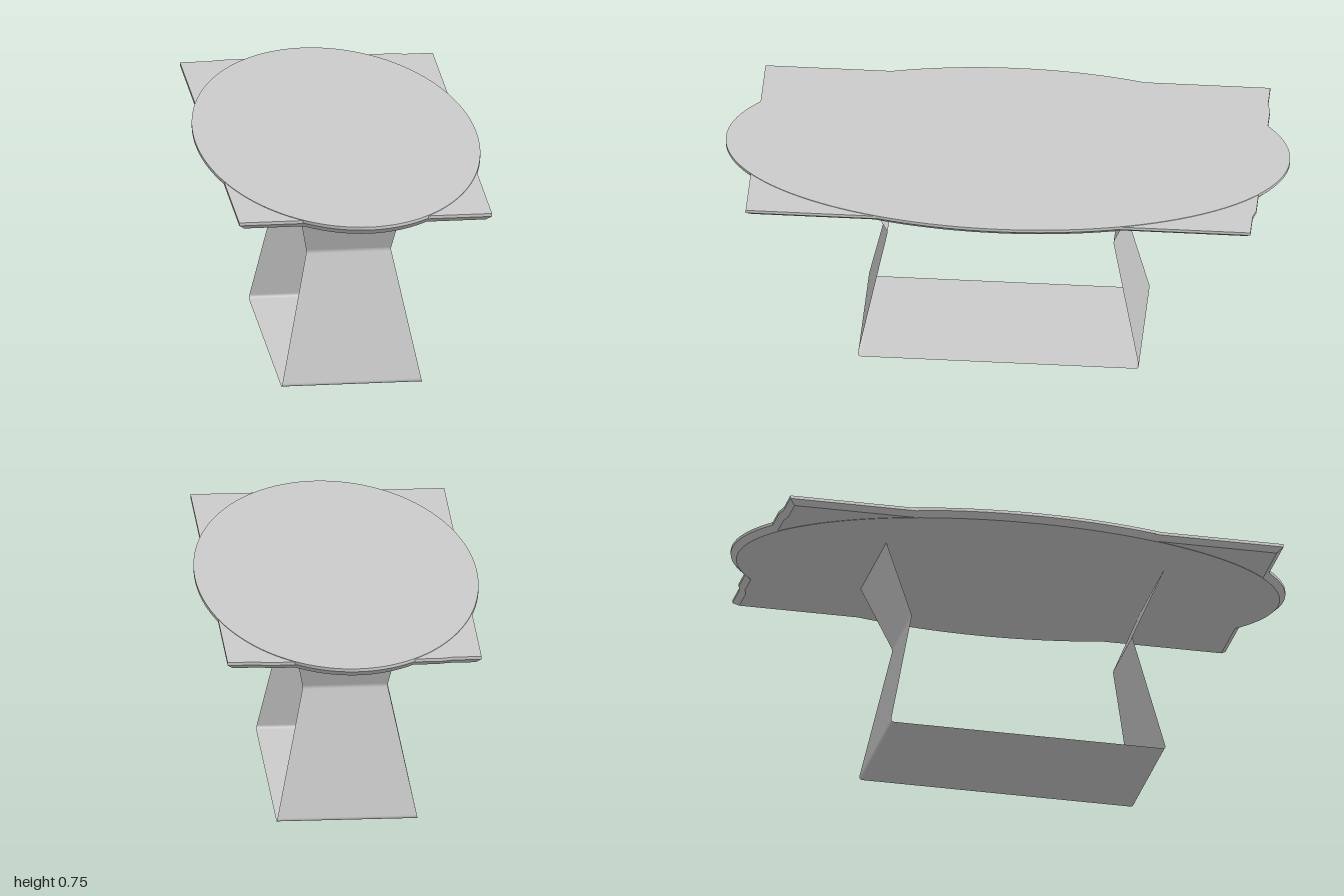
import * as THREE from 'three';
import { toCreasedNormals } from 'three/addons/utils/BufferGeometryUtils.js';

const material = new THREE.MeshStandardMaterial({ color: 0xcccccc, side: THREE.DoubleSide });

function surface(positions, indices) {
  const g = new THREE.BufferGeometry();
  g.setAttribute('position', new THREE.Float32BufferAttribute(positions, 3));
  g.setIndex(indices);
  g.computeVertexNormals();
  return g;
}

// Flat slab with a chamfered underside; outline points are [x, z], clockwise seen from below
function slab(name, outline, halfX, halfZ, top, bottom) {
  const inset = 0.02, n = outline.length;
  const positions = [], indices = [];
  const rings = [[top, 0], [top - 0.011, 0], [bottom, inset]];
  for (const [y, d] of rings) {
    for (const [x, z] of outline) positions.push(x * (1 - d / halfX), y, z * (1 - d / halfZ));
  }
  positions.push(0, top, 0, 0, bottom, 0);
  const topCentre = rings.length * n, bottomCentre = topCentre + 1;
  for (let i = 0; i < n; i++) {
    const j = (i + 1) % n;
    for (let r = 0; r < rings.length - 1; r++) {
      const a = r * n + i, b = r * n + j;
      indices.push(a, a + n, b, b, a + n, b + n);
    }
    indices.push(topCentre, i, j, bottomCentre, 2 * n + j, 2 * n + i);
  }
  const mesh = new THREE.Mesh(toCreasedNormals(surface(positions, indices), 0.5), material);
  mesh.name = name;
  return mesh;
}

// Bent sheet: stations [z, y, half width], each inner corner rounded by a small fillet
function bentSheet(stations, fillets) {
  const pts = [];
  const toVec = (s) => new THREE.Vector3(...s);
  stations.forEach((s, i) => {
    const p = toVec(s), r = fillets[i];
    if (!r) { pts.push(p); return; }
    const toward = (q) => p.clone().add(toVec(q).sub(p).normalize().multiplyScalar(r));
    const curve = new THREE.QuadraticBezierCurve3(toward(stations[i - 1]), p, toward(stations[i + 1]));
    pts.push(...curve.getPoints(6));
  });
  const positions = [], indices = [];
  pts.forEach((p, i) => {
    positions.push(-p.z, p.y, p.x, p.z, p.y, p.x);
    if (i) {
      const a = 2 * i - 2;
      indices.push(a, a + 2, a + 1, a + 1, a + 2, a + 3);
    }
  });
  return surface(positions, indices);
}

export function createModel() {
  const model = new THREE.Group();
  model.name = 'table';

  // Oval top
  const oval = [];
  for (let i = 0; i < 128; i++) {
    const t = (i / 128) * Math.PI * 2;
    oval.push([0.5 * Math.sin(t), Math.cos(t)]);
  }
  model.add(slab('ovalTop', oval, 0.5, 1, 0.751, 0.72));

  // Rectangular top under the oval, with a shallow step along the back edge
  const rectangle = [
    [-0.45, 0.895], [0.45, 0.895], [0.45, -0.895], [0.35, -0.895], [0.31, -0.905],
    [-0.31, -0.905], [-0.35, -0.895], [-0.45, -0.895],
  ];
  model.add(slab('rectangularTop', rectangle, 0.45, 0.9, 0.749, 0.721));

  // Pedestal: one thin sheet folded into two waisted legs and a floor plate
  const front = [[0.505, 0.722, 0.2], [0.4, 0.47, 0.15], [0.5, 0, 0.25]];
  const back = front.map(([z, y, w]) => [-z, y, w]).reverse();
  const base = new THREE.Mesh(
    bentSheet([...front, ...back], [0, 0.008, 0.015, 0.015, 0.008, 0]), material);
  base.name = 'pedestal';
  base.position.set(-0.004, 0, 0.015);
  model.add(base);

  return model;
}
